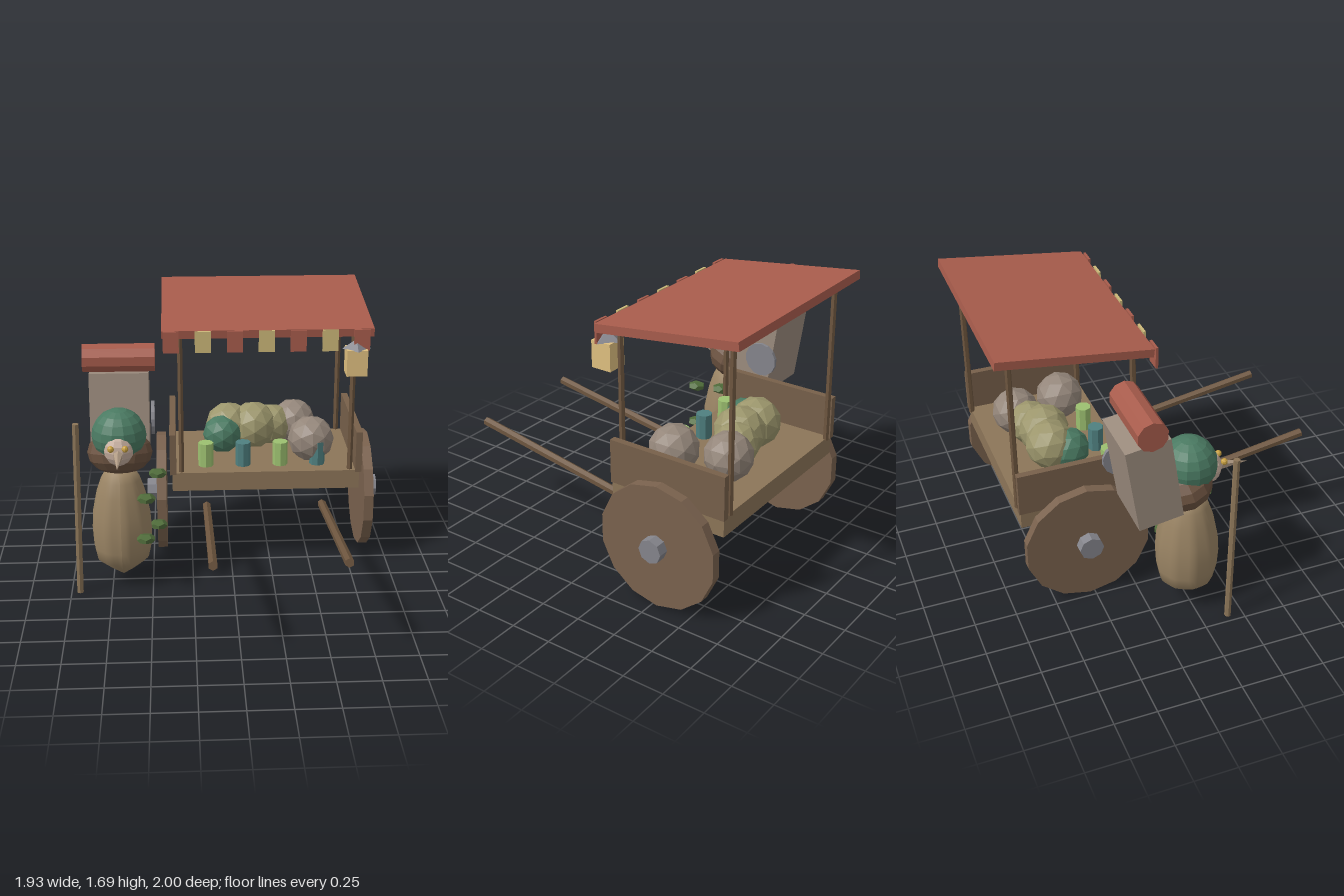
import * as THREE from 'three';

const C = {
  wood: 0x8c7558, darkWood: 0x6e563f, board: 0x77604a, wheel: 0x7a624e, metal: 0x85858c,
  red: 0xa85c4c, cream: 0xccb878, lantern: 0xe0c080, green: 0x4a7a62, squash: 0x9c966c,
  sack: 0x94867a, jarGreen: 0x9cc070, jarTeal: 0x4f8080, gown: 0x9a8464, cape: 0x6b5240,
  face: 0xc8b0a0, beak: 0xb09a84, eye: 0xc8a040, pack: 0x9c8c7e, herb: 0x4f6b3a,
};

export function createModel() {
  const root = new THREE.Group();
  const cart = new THREE.Group();
  cart.name = 'cart';
  const peddler = new THREE.Group();
  peddler.name = 'peddler';
  root.add(cart, peddler);

  const add = (parent, name, geo, color, x, y, z, flat = true) => {
    const mesh = new THREE.Mesh(geo, new THREE.MeshStandardMaterial({ color, flatShading: flat }));
    mesh.name = name;
    mesh.position.set(x, y, z);
    parent.add(mesh);
    return mesh;
  };
  const box = (w, h, d) => new THREE.BoxGeometry(w, h, d);
  const cyl = (r, h, n) => new THREE.CylinderGeometry(r, r, h, n);
  const crossCyl = (r, h, n) => cyl(r, h, n).rotateZ(Math.PI / 2).rotateX(Math.PI / 2);
  const ball = (r) => new THREE.IcosahedronGeometry(r, 1);
  // Round bar between two points
  const bar = (parent, name, a, b, r, n, color) => {
    const from = new THREE.Vector3(...a), dir = new THREE.Vector3(...b).sub(from);
    const mid = from.clone().addScaledVector(dir, 0.5);
    const mesh = add(parent, name, cyl(r, dir.length(), n), color, mid.x, mid.y, mid.z);
    mesh.quaternion.setFromUnitVectors(new THREE.Vector3(0, 1, 0), dir.normalize());
    return mesh;
  };

  // Cart bed, side boards, wheels, posts and shafts, mirrored about the cart's middle
  const cx = 0.215;
  add(cart, 'bed', box(1.17, 0.12, 0.74), C.wood, cx, 0.585, -0.53);
  for (const s of [-1, 1]) {
    add(cart, 'sideBoard', box(0.04, 0.265, 0.75), C.board, cx + s * 0.58, 0.765, -0.535);
    add(cart, 'wheel', crossCyl(0.38, 0.06, 14), C.wheel, cx + s * 0.655, 0.38, -0.53);
    add(cart, 'hub', crossCyl(0.073, 0.1, 8), C.metal, cx + s * 0.7, 0.385, -0.53);
    const px = cx + s * 0.527;
    bar(cart, 'frontPost', [px, 0.64, -0.19], [px, 1.55, -0.19], 0.018, 6, C.darkWood);
    bar(cart, 'backPost', [px, 0.64, -0.9], [px, 1.59, -0.9], 0.018, 6, C.darkWood);
    const sx = cx + s * 0.37;
    bar(cart, 'shaft', [sx, 0.365, -0.285], [sx, 0.585, 0.995], 0.027, 6, C.darkWood);
  }

  // Sloping canopy with alternating pennants
  add(cart, 'canopy', box(1.27, 0.05, 0.9), C.red, cx, 1.61, -0.55).rotation.x = 0.123;
  for (let i = 0; i < 7; i++) {
    add(cart, 'pennant', box(0.095, 0.13, 0.015), i % 2 ? C.cream : C.red, -0.365 + i * 0.19, 1.515, -0.085);
  }

  // Hanging lantern
  add(cart, 'lantern', box(0.125, 0.16, 0.125), C.lantern, 0.745, 1.38, -0.105);
  add(cart, 'lanternCap', new THREE.ConeGeometry(0.087, 0.06, 4), C.metal, 0.745, 1.487, -0.105);

  // Goods: radius, x, y, z, colour
  const goods = [
    [0.125, -0.045, 0.775, -0.5, C.green],
    [0.15, 0.0, 0.8, -0.6, C.squash],
    [0.155, 0.16, 0.8, -0.59, C.squash],
    [0.135, 0.28, 0.785, -0.64, C.squash],
    [0.145, 0.43, 0.79, -0.69, C.sack],
    [0.148, 0.515, 0.78, -0.38, C.sack],
  ];
  for (const [r, x, y, z, color] of goods) add(cart, 'roundGood', ball(r), color, x, y, z);
  for (let i = 0; i < 4; i++) {
    add(cart, 'jar', cyl(0.048, 0.155, 8), i % 2 ? C.jarTeal : C.jarGreen, -0.158 + i * 0.235, 0.72, -0.29);
  }

  // Gown: turned profile with soft folds that fade at both ends
  const bx = -0.685;
  const profile = [[0, 0.04], [0.08, 0.1], [0.16, 0.17], [0.176, 0.25], [0.182, 0.36], [0.175, 0.47],
    [0.15, 0.6], [0.12, 0.69], [0.09, 0.745], [0, 0.75]].map(([r, y]) => new THREE.Vector2(r, y));
  const gown = new THREE.LatheGeometry(profile, 40);
  const p = gown.attributes.position;
  for (let i = 0; i < p.count; i++) {
    const x = p.getX(i), y = p.getY(i), z = p.getZ(i);
    const fade = Math.max(0, Math.sin((y - 0.04) / 0.71 * Math.PI));
    const k = 1 + 0.025 * fade * Math.sin(Math.atan2(z, x) * 10);
    p.setXYZ(i, x * k, y, z * k);
  }
  gown.computeVertexNormals();
  add(peddler, 'gown', gown, C.gown, bx, 0, 0, false);

  // Cape, hood, face, beak and eyes
  const cape = add(peddler, 'cape', new THREE.SphereGeometry(1, 12, 8), C.cape, bx, 0.845, -0.04);
  cape.scale.set(0.198, 0.14, 0.175);
  cape.rotation.x = -0.25;
  add(peddler, 'hood', new THREE.SphereGeometry(0.165, 14, 10), C.green, bx, 0.97, 0);
  add(peddler, 'face', new THREE.SphereGeometry(0.092, 10, 8), C.face, bx, 0.92, 0.108).scale.y = 1.1;
  add(peddler, 'beak', new THREE.ConeGeometry(0.036, 0.2, 6).rotateX(Math.PI / 2), C.beak, bx, 0.902, 0.262)
    .rotation.x = 0.12;
  for (const s of [-1, 1]) {
    add(peddler, 'eye', new THREE.SphereGeometry(0.02, 8, 6), C.eye, bx + s * 0.042, 0.955, 0.2);
  }

  // Back pack with bedroll and pan
  add(peddler, 'pack', box(0.36, 0.54, 0.265), C.pack, bx, 1.01, -0.27).rotation.x = -0.15;
  add(peddler, 'bedroll', crossCyl(0.09, 0.44, 10), C.red, bx, 1.36, -0.298);
  add(peddler, 'pan', crossCyl(0.105, 0.02, 14), C.metal, -0.485, 0.955, -0.335);

  // Walking staff
  bar(peddler, 'staff', [-0.948, 0, 0.16], [-0.927, 1.11, 0.18], 0.02, 7, C.wood);

  // Hanging herb bundles
  for (const [x, y, z] of [[-0.46, 0.69, -0.06], [-0.527, 0.623, 0.17], [-0.46, 0.345, -0.06], [-0.535, 0.36, 0.175]]) {
    add(peddler, 'herbBundle', new THREE.DodecahedronGeometry(0.058), C.herb, x, y, z).scale.y = 0.48;
  }
  return root;
}
